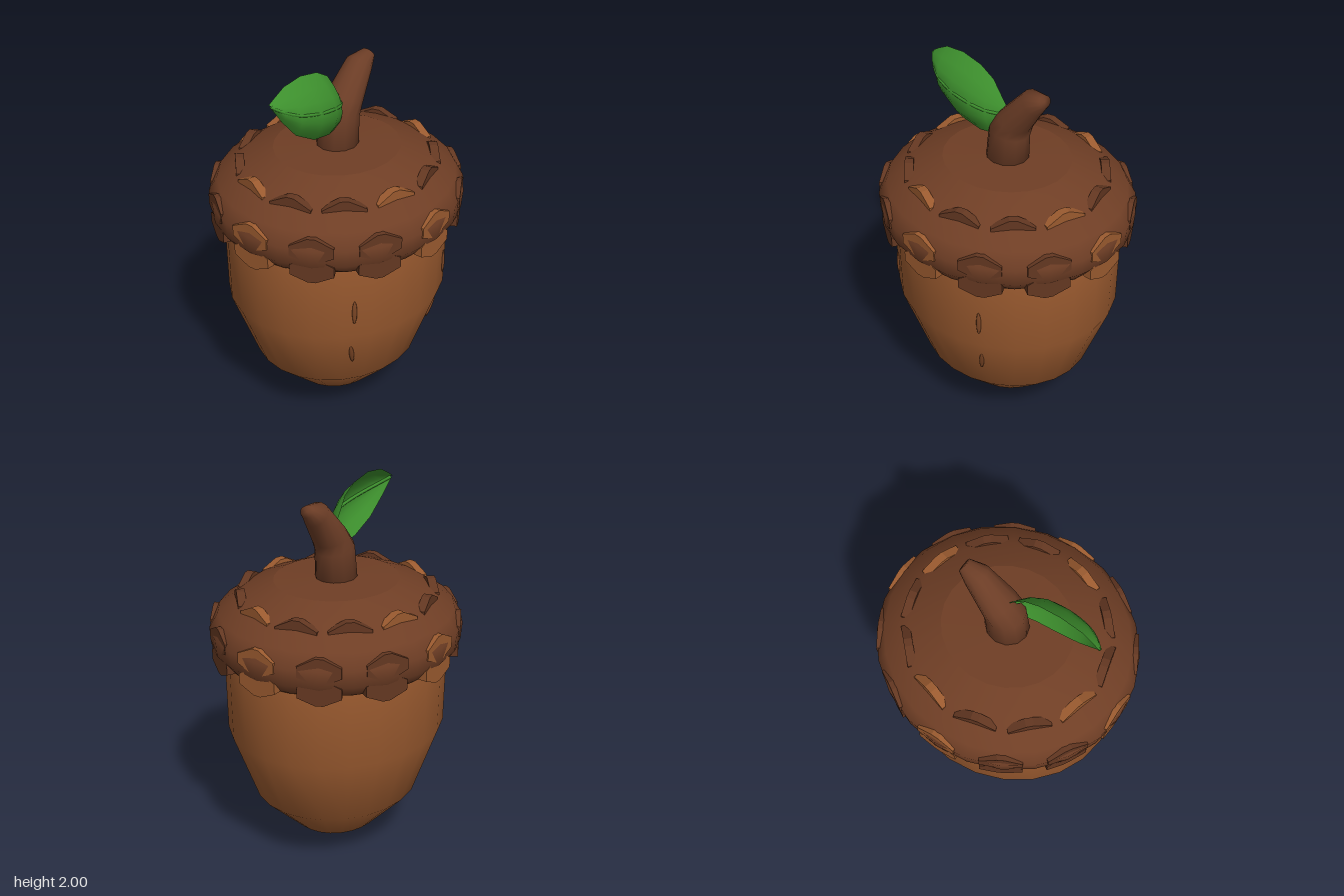
import * as THREE from 'three';
import { mergeVertices } from 'three/addons/utils/BufferGeometryUtils.js';

const mat = (name, color, side = THREE.FrontSide) => {
  const m = new THREE.MeshStandardMaterial({ color, side });
  m.name = name;
  return m;
};

export function createModel() {
  const nut = mat('nutBrown', 0x9a5a2f);
  const cap = mat('capBrown', 0x6f3e25);
  const dark = mat('scaleBrown', 0x633721);
  const stemMat = mat('stemBrown', 0x6c3d26);
  const groove = mat('grooveBrown', 0x7a4524);
  const green = mat('leafGreen', 0x3d8f2d, THREE.DoubleSide);

  const model = new THREE.Group();
  model.name = 'acorn';
  const add = (name, geometry, material, parent = model) => {
    const mesh = new THREE.Mesh(geometry, material);
    mesh.name = name;
    parent.add(mesh);
    return mesh;
  };
  const lathe = (pts) =>
    new THREE.LatheGeometry(pts.map(([x, y]) => new THREE.Vector2(x, y)), 24);

  // Nut and cap, both a little flattened front to back
  const NUT_Z = 0.905, CAP_Z = 0.94;
  add('nut', lathe([[0, 0], [0.03, 0.003], [0.24, 0.11], [0.47, 0.33], [0.615, 0.71],
    [0.622, 1.09], [0.6, 1.2]]), nut).scale.z = NUT_Z;
  add('cap', lathe([[0.54, 1.13], [0.63, 1.13], [0.678, 1.19], [0.686, 1.28], [0.64, 1.36],
    [0.5, 1.45], [0.34, 1.51]]), cap).scale.z = CAP_Z;
  add('capTop', lathe([[0.34, 1.51], [0, 1.526]]), cap).scale.z = CAP_Z;

  // Three rings of upright pointed scales
  const outline = [[-0.11, -0.03], [-0.02, -0.07], [0.02, -0.07], [0.11, -0.03],
    [0.11, 0.025], [0.02, 0.07], [-0.02, 0.07], [-0.11, 0.025]];
  const scaleGeo = new THREE.ExtrudeGeometry(
    new THREE.Shape(outline.map(([x, y]) => new THREE.Vector2(x, y))),
    { depth: 0.045, bevelEnabled: false });
  scaleGeo.translate(0, 0, -0.0225);
  const rings = [
    ['upperScales', 0.515, 1.405, -15],
    ['middleScales', 0.652, 1.275, 0],
    ['lowerScales', 0.645, 1.162, 0],
  ];
  for (const [name, r, y, start] of rings) {
    const group = new THREE.Group();
    group.name = name;
    model.add(group);
    for (let i = 0; i < 12; i++) {
      const a = THREE.MathUtils.degToRad(start + 30 * i);
      const s = add('scale', scaleGeo, i % 3 === 0 ? nut : dark, group);
      s.position.set(r * Math.sin(a), y, r * CAP_Z * Math.cos(a));
      s.rotation.y = a;
    }
  }

  // Short grooves on the front of the nut: x, y, nut radius, lean, tilt
  const grooveGeo = new THREE.SphereGeometry(1, 8, 6);
  for (const [x, y, r, lean, tilt] of [
    [-0.39, 0.86, 0.617, 0, 0], [0.275, 0.86, 0.617, 0, 0],
    [-0.355, 0.56, 0.556, 0.3, 0.12], [0.245, 0.56, 0.556, 0.3, -0.1]]) {
    const g = add('groove', grooveGeo, groove);
    const z = NUT_Z * Math.sqrt(r * r - x * x);
    g.position.set(x, y, z);
    g.scale.set(0.013, 0.07, 0.009);
    g.rotation.set(lean, Math.atan2(x, z), tilt, 'YXZ');
  }

  // Bent stem lofted from tip to base: left edge x, y, right edge x, y, half depth
  const sections = [
    [0.235, 1.955, 0.262, 1.9, 0.04],
    [0.13, 1.948, 0.225, 1.845, 0.07],
    [-0.02, 1.79, 0.14, 1.71, 0.098],
    [-0.09, 1.7, 0.125, 1.66, 0.102],
    [-0.112, 1.5, 0.116, 1.5, 0.108],
  ];
  let stem = new THREE.CylinderGeometry(1, 1, 1, 12, 4);
  let p = stem.attributes.position;
  for (let i = 0; i < p.count; i++) {
    const [lx, ly, rx, ry, d] = sections[Math.round((0.5 - p.getY(i)) * 4)];
    const t = (p.getX(i) + 1) / 2;
    p.setXYZ(i, lx + (rx - lx) * t, ly + (ry - ly) * t, p.getZ(i) * d);
  }
  stem.deleteAttribute('uv');
  stem.deleteAttribute('normal');
  stem = mergeVertices(stem, 1e-4);
  stem.computeVertexNormals();
  add('stem', stem, stemMat);

  // Cupped leaf from tip to base: x, middle y, half width, depth factor
  const rows = [
    [-0.505, 1.92, 0.008, 0.15], [-0.46, 1.888, 0.065, 0.5], [-0.39, 1.857, 0.13, 0.82],
    [-0.27, 1.828, 0.172, 1], [-0.15, 1.805, 0.17, 0.95], [-0.07, 1.782, 0.142, 0.7],
    [0, 1.76, 0.045, 0.2]];
  const leafPoint = ([x, y, h, k], s) => new THREE.Vector3(
    x - 0.02 * s * k, y + h * s, k * (0.035 - 0.025 * s + 0.092 * (1 - s * s)));
  const leaf = new THREE.PlaneGeometry(1, 1, 6, 6);
  p = leaf.attributes.position;
  for (let i = 0; i < p.count; i++) {
    const v = leafPoint(rows[Math.round((p.getX(i) + 0.5) * 6)], p.getY(i) * 2);
    p.setXYZ(i, v.x, v.y, v.z);
  }
  leaf.computeVertexNormals();
  add('leaf', leaf, green);

  // Midrib along the hollow back of the leaf
  const rib = new THREE.CatmullRomCurve3(rows.map((r) => {
    const v = leafPoint(r, 0);
    v.z -= 0.008;
    return v;
  }));
  add('leafMidrib', new THREE.TubeGeometry(rib, 16, 0.009, 6), green);

  return model;
}
